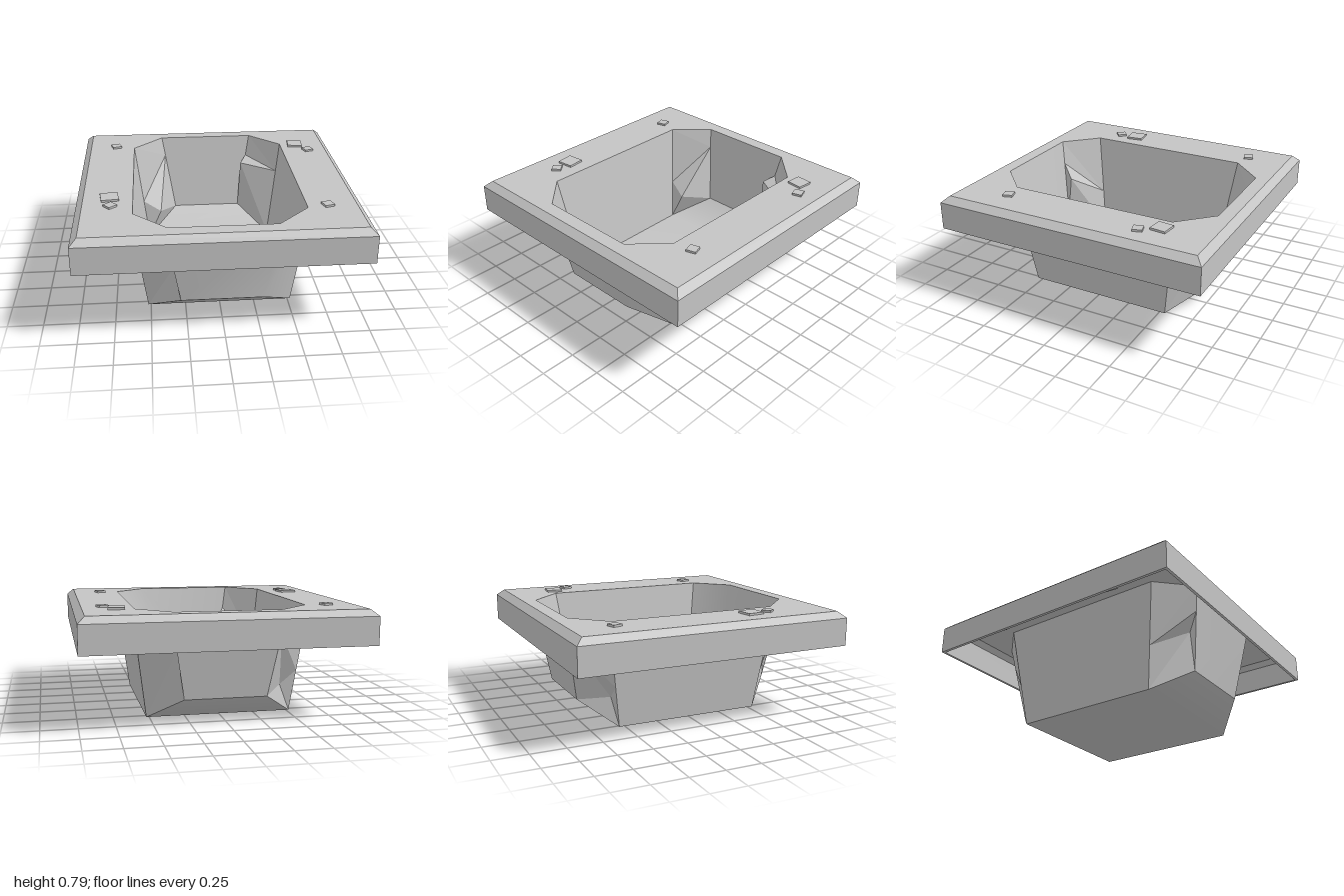
import * as THREE from 'three';
import { mergeVertices } from 'three/addons/utils/BufferGeometryUtils.js';

const WALL = 0.02; // shell thickness
const stone = new THREE.MeshStandardMaterial({ color: 0xc4c4c4, side: THREE.DoubleSide });
stone.name = 'greyStone';

// Mesh from convex polygons (arrays of Vector3), faceted or smooth
function polyMesh(name, polys, { flip = false, smooth = false } = {}) {
  const pts = [];
  for (const p of polys) {
    for (let i = 1; i < p.length - 1; i++) {
      pts.push(...(flip ? [p[0], p[i + 1], p[i]] : [p[0], p[i], p[i + 1]]));
    }
  }
  let geo = new THREE.BufferGeometry().setFromPoints(pts);
  if (smooth) geo = mergeVertices(geo);
  geo.computeVertexNormals();
  const mesh = new THREE.Mesh(geo, stone);
  mesh.name = name;
  return mesh;
}

// Octagon ring: s = long-side corner, e = end corner, each [x, y, z]
function octagon(s, e) {
  const order = [[s, 1, 1], [e, 1, 1], [e, -1, 1], [s, -1, 1], [s, -1, -1], [e, -1, -1], [e, 1, -1], [s, 1, -1]];
  return order.map(([p, sx, sz]) => new THREE.Vector3(p[0] * sx, p[1], p[2] * sz));
}

// Push a pit point outward and down to the outer skin
const offset = (p, d) => new THREE.Vector3(p.x + Math.sign(p.x) * d, p.y - d, p.z + Math.sign(p.z) * d);

const rim = octagon([0.6, 0.775, 0.62], [0.37, 0.775, 0.85]);
const base = octagon([0.5, 0.02, 0.52], [0.27, 0.185, 0.75]);

// Dented corners: break heights along both edges and the pushed-in point
const dents = {
  2: { u: 0.3, v: 0.6, inner: [-0.27, 0.5, 0.715] },
  4: { u: 0.6, v: 0.25, inner: [-0.4, 0.24, -0.53] },
  6: { u: 0.28, v: 0.3, inner: [0.29, 0.57, -0.74] },
};

// One skin of the pit: walls, broken corners and bowed floor
function pitSkin(name, outer) {
  const group = new THREE.Group();
  group.name = name;
  const move = (p) => (outer ? offset(p, WALL) : p);
  const T = rim.map(move), B = base.map(move);
  const rounded = [], flat = [], broken = [];
  for (let i = 0; i < 8; i++) {
    const j = (i + 1) % 8;
    const a = T[i], b = T[j], c = B[j], d = B[i];
    if (dents[i]) {
      const { u, v, inner } = dents[i];
      const U = a.clone().lerp(d, u), V = b.clone().lerp(c, v);
      let I = new THREE.Vector3(...inner);
      if (outer) I = offset(I, WALL * 2);
      broken.push([a, b, V, U], [U, V, I], [U, I, d], [I, c, d], [I, V, c]);
    } else {
      (i === 3 || i === 7 ? flat : rounded).push([a, b, c, d]);
    }
  }
  const rows = [[2, 1], [3, 0], [4, 7], [5, 6]];
  const floor = [];
  for (let r = 0; r < 3; r++) {
    const [l0, r0] = rows[r], [l1, r1] = rows[r + 1];
    floor.push([B[l0], B[r0], B[r1], B[l1]]);
  }
  group.add(
    polyMesh('sideWalls', flat, { flip: !outer }),
    polyMesh('endWalls', rounded, { flip: !outer, smooth: true }),
    polyMesh('brokenCorners', broken, { flip: !outer }),
    polyMesh('floor', floor, { flip: outer, smooth: true }),
  );
  return group;
}

// Square plate with an octagonal opening
function plate(name, half, y, ring, down) {
  const shape = new THREE.Shape([[-1, -1], [1, -1], [1, 1], [-1, 1]].map(([x, z]) => new THREE.Vector2(x * half, z * half)));
  shape.holes.push(new THREE.Path(ring.map((p) => new THREE.Vector2(p.x, -p.z))));
  const geo = new THREE.ShapeGeometry(shape);
  if (down) geo.scale(1, 1, -1).rotateX(Math.PI);
  geo.rotateX(-Math.PI / 2);
  if (down) geo.scale(1, 1, -1);
  geo.translate(0, y, 0);
  if (down) {
    geo.index.array.reverse();
    geo.computeVertexNormals();
    // Face the plate downward whatever the corner order
    if (geo.attributes.normal.getY(0) > 0) {
      geo.index.array.reverse();
      geo.computeVertexNormals();
    }
  }
  const mesh = new THREE.Mesh(geo, stone);
  mesh.name = name;
  return mesh;
}

// Bevelled skirt: [half width, height] from top edge, round the lip, to underside
function skirt() {
  const profile = [[0.95, 0.775], [1, 0.73], [1, 0.53], [0.98, 0.53], [0.98, 0.72], [0.94, 0.755]];
  const rings = profile.map(([h, y]) =>
    [[1, 1], [1, -1], [-1, -1], [-1, 1]].map(([x, z]) => new THREE.Vector3(x * h, y, z * h)));
  const polys = [];
  for (let k = 0; k < rings.length - 1; k++) {
    for (let i = 0; i < 4; i++) {
      const j = (i + 1) % 4;
      polys.push([rings[k][i], rings[k + 1][i], rings[k + 1][j], rings[k][j]]);
    }
  }
  return polyMesh('slabSkirt', polys);
}

export function createModel() {
  const model = new THREE.Group();
  model.name = 'pitTile';

  model.add(
    plate('slabTop', 0.95, 0.775, rim, false),
    plate('slabUnderside', 0.94, 0.755, rim.map((p) => offset(p, WALL)), true),
    skirt(),
    pitSkin('pitInside', false),
    pitSkin('pitOutside', true),
  );

  // Loose chips set in the top: x, z, size, turn
  const chips = [
    [-0.745, -0.655, 0.07, 0.3], [0.72, -0.6, 0.115, -0.1], [0.805, -0.47, 0.07, 0.3],
    [-0.765, 0.355, 0.125, 0.12], [-0.755, 0.495, 0.07, 0.7], [0.745, 0.59, 0.07, 0.3],
  ];
  for (const [x, z, size, turn] of chips) {
    const chip = new THREE.Mesh(new THREE.BoxGeometry(size, 0.05, size), stone);
    chip.name = 'stoneChip';
    chip.position.set(x, 0.765, z);
    chip.rotation.y = turn;
    model.add(chip);
  }
  return model;
}
